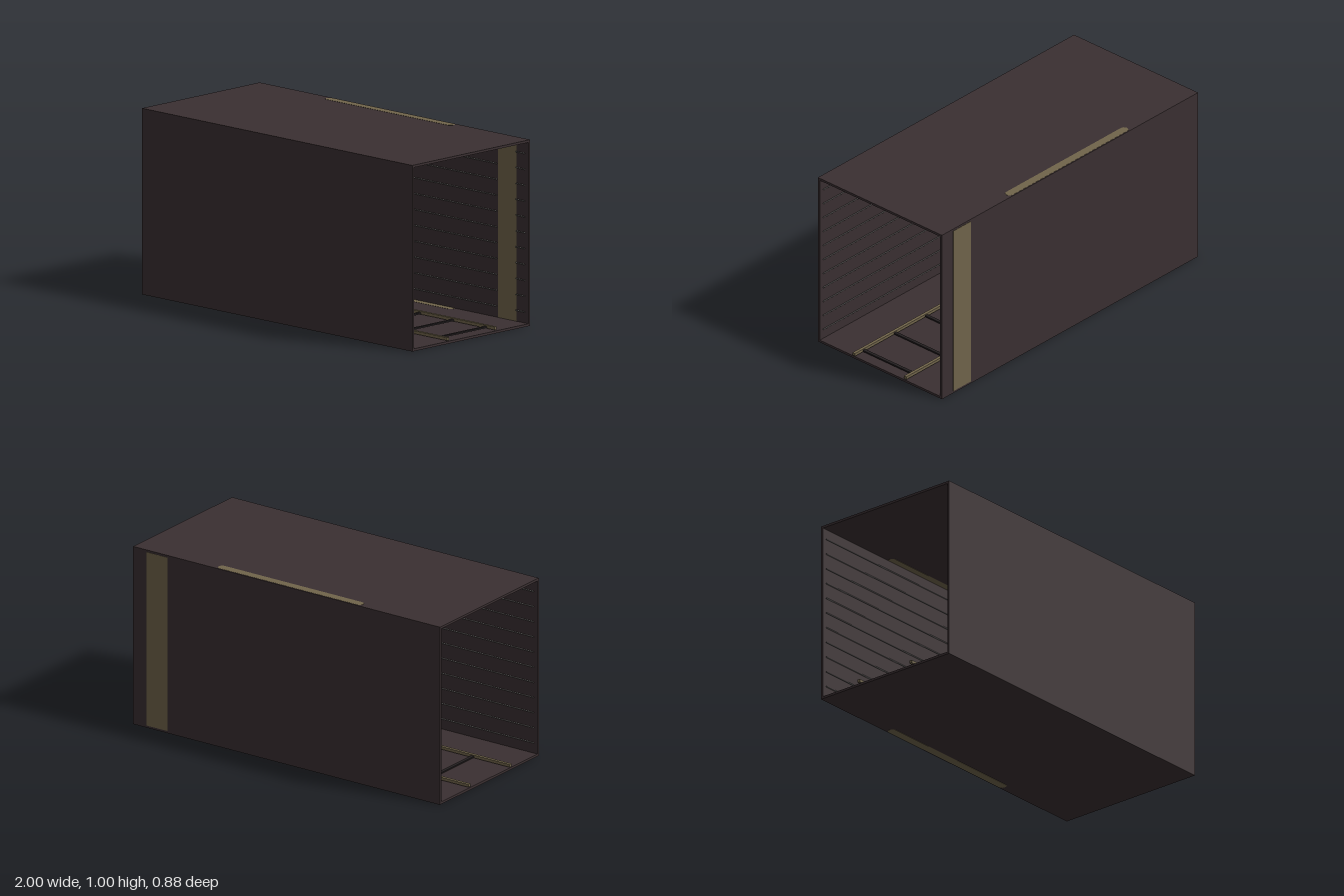
import * as THREE from 'three';

const mat = (name, color) => {
  const m = new THREE.MeshStandardMaterial({ color });
  m.name = name;
  return m;
};

export function createModel() {
  const root = new THREE.Group();
  root.name = 'openTunnel';
  const wall = mat('darkBrownWall', 0x3a2f31);
  const olive = mat('oliveMetal', 0x70644a);
  const dark = mat('blackIron', 0x231f20);
  const grey = mat('greyRod', 0x8c8a88);

  const box = (name, m, sx, sy, sz, x, y, z) => {
    const mesh = new THREE.Mesh(new THREE.BoxGeometry(sx, sy, sz), m);
    mesh.position.set(x, y, z);
    mesh.name = name;
    root.add(mesh);
    return mesh;
  };

  // Hollow shell, open at both ends
  const L = 1.986, W = 0.88, T = 0.013;
  box('floor', wall, L, T, W, 0, T / 2 + 0.001, 0);
  box('ceiling', wall, L, T, W, 0, 1 - T / 2 - 0.001, 0);
  for (const s of [1, -1]) {
    box(s > 0 ? 'frontWall' : 'backWall', wall, L, 0.998 - 2 * T, T, 0, 0.5, s * (W - T) / 2);
  }

  // Upright strip showing on both faces of the back wall
  box('wallStrip', olive, 0.137, 0.974, T + 0.003, 0.838, 0.5, -(W - T) / 2);

  // Long round-ended inlays through the floor and ceiling
  const r = 0.023, half = 0.467 - r;
  const slot = new THREE.Shape();
  slot.absarc(half, 0, r, -Math.PI / 2, Math.PI / 2, false);
  slot.absarc(-half, 0, r, Math.PI / 2, Math.PI * 1.5, false);
  const slotGeo = new THREE.ExtrudeGeometry(slot, { depth: T + 0.002, bevelEnabled: false, curveSegments: 6 });
  slotGeo.rotateX(-Math.PI / 2);
  for (const [name, y] of [['floorInlay', 0], ['ceilingInlay', 1 - T - 0.002]]) {
    const inlay = new THREE.Mesh(slotGeo, olive);
    inlay.position.set(-0.007, y, -0.411);
    inlay.name = name;
    root.add(inlay);
  }

  // Thin rods along both inner walls, interrupted at the strip
  const rod = (x0, x1, y, z) => {
    const mesh = new THREE.Mesh(new THREE.CylinderGeometry(0.003, 0.003, x1 - x0, 6), grey);
    mesh.rotation.z = Math.PI / 2;
    mesh.position.set((x0 + x1) / 2, y, z);
    mesh.name = 'wallRod';
    root.add(mesh);
  };
  for (let i = 0; i < 11; i++) {
    const y = 0.075 + i * 0.085;
    rod(-0.975, 0.975, y, 0.419);
    rod(-0.975, 0.769, y, -0.419);
    rod(0.907, 0.975, y, -0.419);
  }

  // Track: two rails joined by slim cross bars
  box('rail', olive, 2, 0.016, 0.017, 0, 0.029, 0.18);
  box('rail', olive, 1.99, 0.016, 0.017, 0, 0.029, -0.18);
  for (let i = 0; i < 8; i++) {
    box('crossBar', dark, 0.018, 0.008, 0.345, 0.93 - i * 0.2414, 0.027, 0);
  }
  return root;
}
